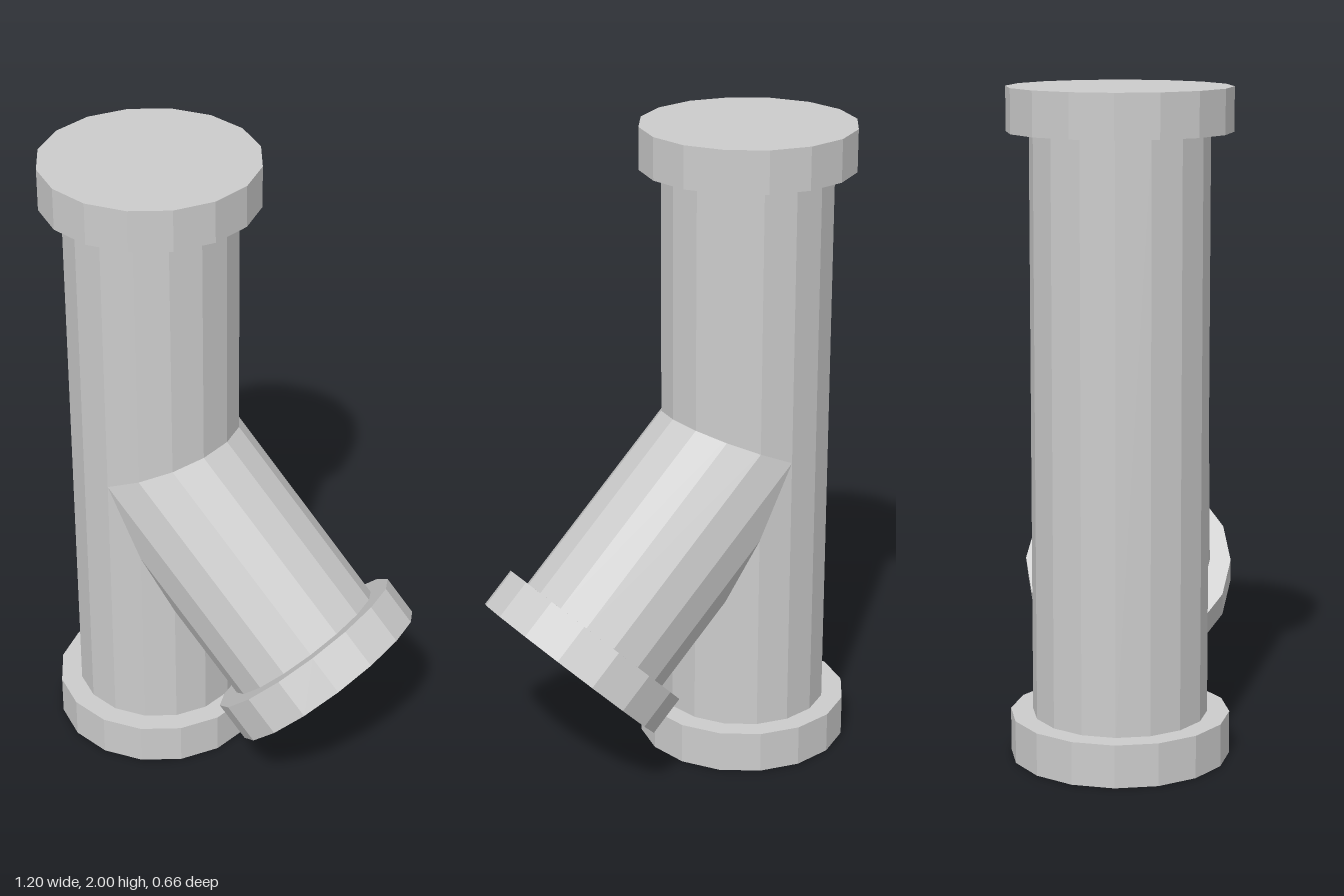
import * as THREE from 'three';

const SIDES = 16;
const PIPE_R = 0.263;
const COLLAR_R = 0.33;
const COLLAR_H = 0.13;
const AXIS_X = -0.273;

const material = new THREE.MeshStandardMaterial({ color: 0xcccccc, flatShading: true });

// Closed faceted cylinder standing from y0 to y1
function cylinder(name, radius, y0, y1) {
  const geometry = new THREE.CylinderGeometry(radius, radius, y1 - y0, SIDES);
  geometry.translate(0, (y0 + y1) / 2, 0);
  const mesh = new THREE.Mesh(geometry, material);
  mesh.name = name;
  return mesh;
}

export function createModel() {
  const model = new THREE.Group();
  model.name = 'pipeJunction';

  // Upright pipe with a collar at each end
  const main = new THREE.Group();
  main.name = 'mainPipe';
  main.position.x = AXIS_X;
  main.add(
    cylinder('mainTube', PIPE_R, COLLAR_H, 2 - COLLAR_H),
    cylinder('bottomCollar', COLLAR_R, 0, COLLAR_H),
    cylinder('topCollar', COLLAR_R, 2 - COLLAR_H, 2)
  );
  model.add(main);

  // Side pipe leaving the main axis at mid height, 45 degrees downward to +x
  const length = 0.903;
  const branch = new THREE.Group();
  branch.name = 'branchPipe';
  branch.position.set(AXIS_X, 1.003, 0);
  branch.rotation.z = -Math.PI * 0.75;
  branch.add(
    cylinder('branchTube', PIPE_R, 0, length - COLLAR_H),
    cylinder('branchCollar', COLLAR_R, length - COLLAR_H, length)
  );
  model.add(branch);

  return model;
}
